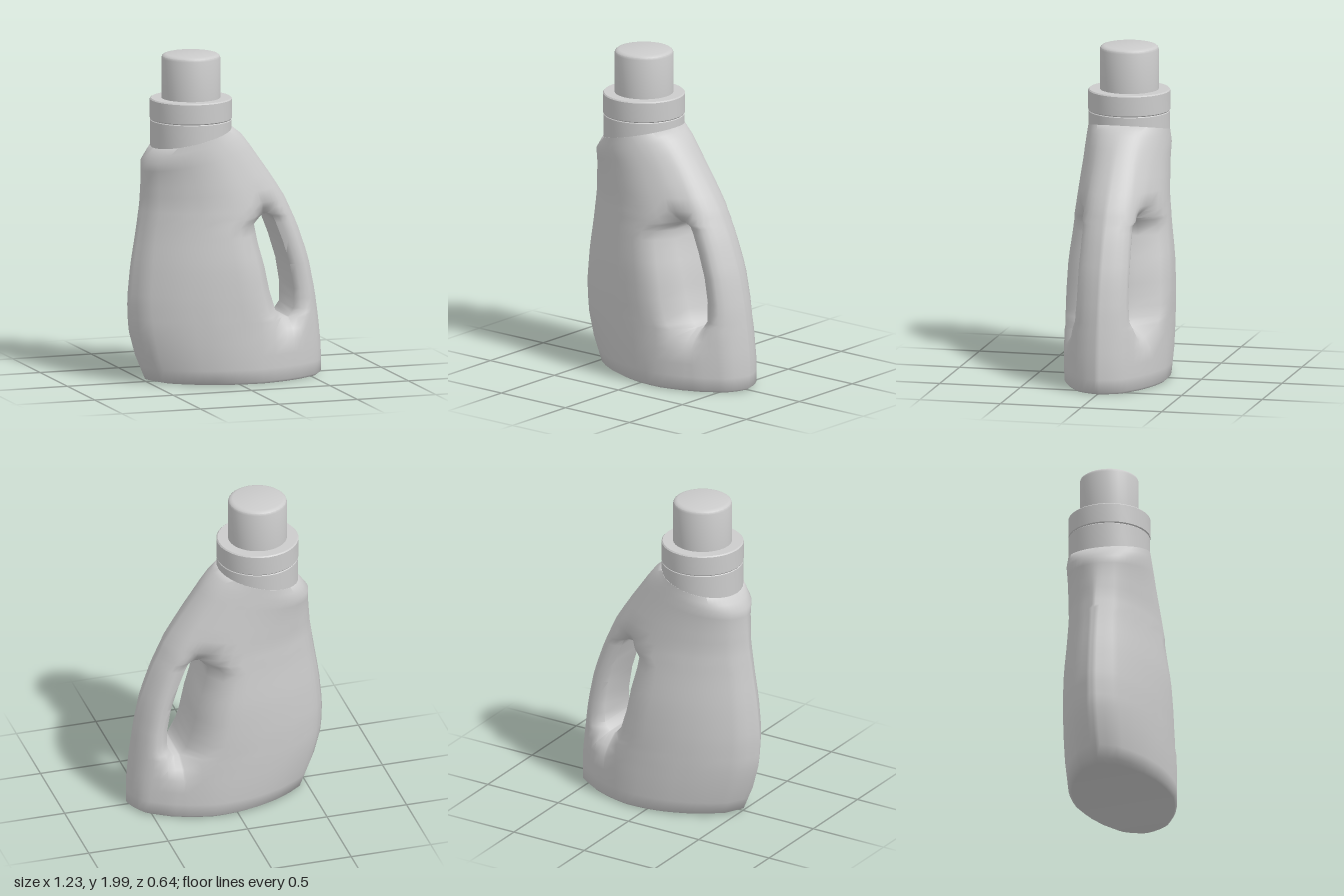
import * as THREE from 'three';
import { toCreasedNormals } from 'three/addons/utils/BufferGeometryUtils.js';

const NECK_X = -0.213;
const HOLE_LOW = 0.38, HOLE_HIGH = 1.02;

// Piecewise linear lookup in rows of [key, a, b, ...]
function lookup(table, k) {
  if (k <= table[0][0]) return table[0].slice(1);
  for (let i = 1; i < table.length; i++) {
    const p = table[i - 1], q = table[i];
    if (k <= q[0]) {
      const t = (k - p[0]) / (q[0] - p[0]);
      return p.slice(1).map((v, n) => v + (q[n + 1] - v) * t);
    }
  }
  return table[table.length - 1].slice(1);
}

// Height: left edge, right edge, half depth, tilt of the level, roundness
const outline = [
  [0.01, -0.45, 0.59, 0.295, 0, 0],
  [0.025, -0.505, 0.612, 0.312, 0, 0],
  [0.18, -0.57, 0.612, 0.32, 0, 0],
  [0.34, -0.613, 0.597, 0.32, 0, 0],
  [0.52, -0.62, 0.573, 0.32, 0, 0],
  [0.73, -0.6, 0.53, 0.313, 0, 0],
  [0.93, -0.567, 0.46, 0.29, 0, 0.05],
  [1.1, -0.542, 0.38, 0.272, 0, 0.2],
  [1.3, -0.528, 0.21, 0.258, 0.12, 0.55],
  [1.424, -0.525, 0.1, 0.254, 0.24, 0.85],
  [1.495, -0.46, 0.034, 0.247, 0.225, 1],
];

// Height: left and right edge of the grip opening (continued above and below)
const opening = [
  [0, 0.3, 0.4], [0.38, 0.315, 0.36], [0.43, 0.275, 0.395], [0.55, 0.237, 0.397],
  [0.7, 0.205, 0.372], [0.85, 0.162, 0.325], [0.96, 0.14, 0.282], [1.0, 0.175, 0.262],
  [1.02, 0.195, 0.225], [1.1, 0.15, 0.24], [1.3, 0.03, 0.12],
  [1.424, -0.08, 0.01], [1.495, -0.13, -0.05],
];

// Fraction along the section: fraction of half depth, pointed at the back end
const lens = [
  [0, 0], [0.055, 0.38], [0.13, 0.58], [0.22, 0.76], [0.32, 0.89], [0.41, 0.97], [0.5, 1],
  [0.58, 1], [0.7, 0.91], [0.82, 0.74], [0.94, 0.47], [0.98, 0.25], [1, 0],
];

const levels = [0.01, 0.025, 0.1, 0.18, 0.26, 0.32, 0.38, 0.405, 0.43, 0.49, 0.55, 0.625, 0.7,
  0.775, 0.85, 0.905, 0.96, 1.0, 1.02, 1.06, 1.1, 1.16, 1.23, 1.3, 1.36, 1.424, 1.46, 1.495];

function depthAt(x, y, xL, xR, half, round) {
  const s = THREE.MathUtils.clamp((x - xL) / (xR - xL), 0, 1);
  const base = half * THREE.MathUtils.lerp(lookup(lens, s)[0], 2 * Math.sqrt(s * (1 - s)), round);
  // Finger recess sinking towards the opening
  const yc = THREE.MathUtils.clamp(y, HOLE_LOW, HOLE_HIGH);
  const [hL, hR] = lookup(opening, yc);
  const d = Math.hypot(Math.max(hL - x, x - hR, 0), y - yc);
  const t = THREE.MathUtils.smoothstep(d, -0.03, 0.11);
  return THREE.MathUtils.lerp(Math.min(base, 0.125), base, t);
}

function bodyGeometry() {
  const A = 16, B = 20, N = 28; // columns: left part, opening, grip
  const pos = [], index = [];
  for (const side of [1, -1]) {
    for (const level of levels) {
      const [xL, xR, half, tilt, round] = lookup(outline, level);
      const [hL, hR] = lookup(opening, level);
      for (let i = 0; i <= N; i++) {
        let x;
        if (i <= A) x = xL + (hL - xL) * (1 - Math.cos(i / A * Math.PI / 2));
        else if (i <= B) x = hL + (hR - hL) * (i - A) / (B - A);
        else x = hR + (xR - hR) * Math.sin((i - B) / (N - B) * Math.PI / 2);
        const z = i === 0 || i === N ? 0 : depthAt(x, level, xL, xR, half, round);
        pos.push(x, level + tilt * (x - NECK_X), side * z);
      }
    }
  }
  const rows = levels.length - 1, back = (rows + 1) * (N + 1);
  const at = (i, j) => j * (N + 1) + i;
  const quad = (a, b, c, d) => index.push(a, b, c, a, c, d);
  const isHole = (i, j) => j < 0 || j >= rows ||
    (i >= A && i < B && levels[j] >= HOLE_LOW && levels[j + 1] <= HOLE_HIGH);
  const wall = (p, q) => quad(q, p, p + back, q + back);
  for (let j = 0; j < rows; j++) {
    for (let i = 0; i < N; i++) {
      if (isHole(i, j)) continue;
      const a = at(i, j), b = at(i + 1, j), c = at(i + 1, j + 1), d = at(i, j + 1);
      quad(a, b, c, d);
      quad(d + back, c + back, b + back, a + back);
      // Walls through the opening, plus the base and the top closure
      if (isHole(i, j - 1)) wall(a, b);
      if (i < N - 1 && isHole(i + 1, j)) wall(b, c);
      if (isHole(i, j + 1)) wall(c, d);
      if (i > 0 && isHole(i - 1, j)) wall(d, a);
    }
  }
  const geo = new THREE.BufferGeometry();
  geo.setAttribute('position', new THREE.Float32BufferAttribute(pos, 3));
  geo.setIndex(index);
  return toCreasedNormals(geo, 1.1);
}

export function createModel() {
  const model = new THREE.Group();
  const material = new THREE.MeshStandardMaterial({ color: 0xcccccc });
  const add = (name, geo, x = 0) => {
    const mesh = new THREE.Mesh(geo, material);
    mesh.name = name;
    mesh.position.x = x;
    model.add(mesh);
  };
  const turned = (profile) => toCreasedNormals(
    new THREE.LatheGeometry(profile.map(([r, y]) => new THREE.Vector2(r, y)), 32), 0.6);

  add('bottleBody', bodyGeometry());
  add('neck', turned([[0, 1.42], [0.246, 1.42], [0.246, 1.597], [0.24, 1.603], [0, 1.603]]), NECK_X);
  add('capCollar', turned([[0, 1.602], [0.243, 1.602], [0.248, 1.608], [0.248, 1.725],
    [0.241, 1.732], [0, 1.732]]), NECK_X);
  add('capTop', turned([[0.178, 1.73], [0.178, 1.975], [0.174, 1.988], [0.164, 1.996],
    [0.15, 2], [0, 2]]), NECK_X);
  return model;
}
